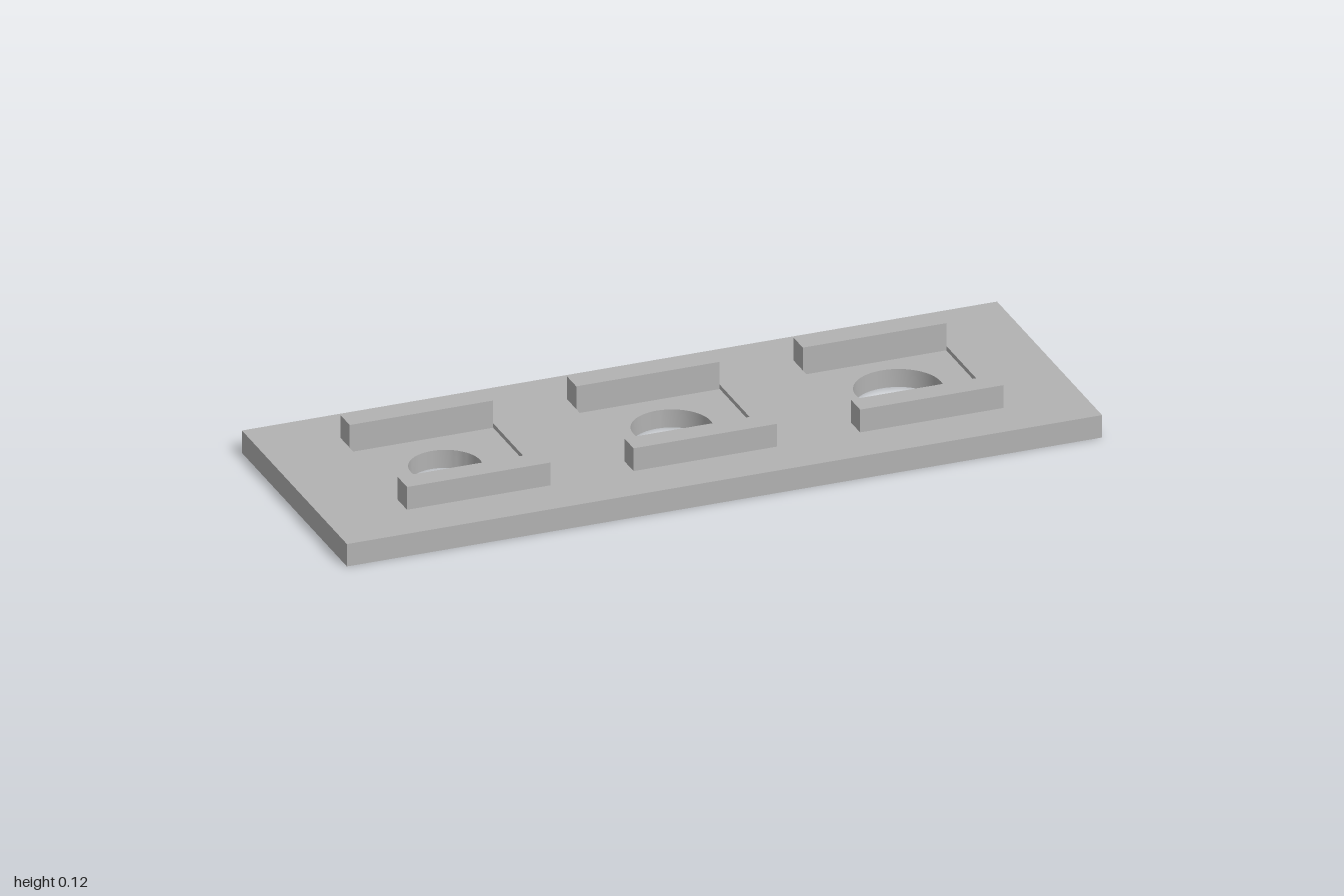
import * as THREE from 'three';
import { toCreasedNormals } from 'three/addons/utils/BufferGeometryUtils.js';

const LENGTH = 2, WIDTH = 0.7, THICKNESS = 0.061, RECESS = 0.012;
const RAIL = { length: 0.38, height: 0.062, width: 0.062, z: 0.191 };
const STATIONS = [{ x: -0.6, r: 0.092 }, { x: 0, r: 0.102 }, { x: 0.6, r: 0.112 }];

// Adds a rectangle centred on (x, 0) to a path
function rectangle(path, x, w, h) {
  path.moveTo(x - w / 2, -h / 2);
  path.lineTo(x + w / 2, -h / 2);
  path.lineTo(x + w / 2, h / 2);
  path.lineTo(x - w / 2, h / 2);
  path.closePath();
  return path;
}

// Horizontal slab with holes, from height y0 to y1
function slab(holes, y0, y1) {
  const shape = rectangle(new THREE.Shape(), 0, LENGTH, WIDTH);
  shape.holes.push(...holes);
  const geometry = new THREE.ExtrudeGeometry(shape, { depth: y1 - y0, bevelEnabled: false, curveSegments: 32 });
  geometry.rotateX(-Math.PI / 2).translate(0, y0, 0);
  return toCreasedNormals(geometry, 0.6);
}

export function createModel() {
  const group = new THREE.Group();
  const grey = new THREE.MeshStandardMaterial({ color: 0xb2b2b2 });
  grey.name = 'grey';
  const add = (name, geometry) => {
    const mesh = new THREE.Mesh(geometry, grey);
    mesh.name = name;
    group.add(mesh);
    return mesh;
  };

  // Lower plate layer with round holes of growing size
  const floor = THICKNESS - RECESS;
  const round = STATIONS.map(({ x, r }) => new THREE.Path().absarc(x, 0, r, 0, Math.PI * 2, true));
  add('basePlate', slab(round, 0, floor));

  // Upper plate layer, open over the shallow recesses between the rails
  const inner = 2 * RAIL.z - RAIL.width;
  const pockets = STATIONS.map(({ x }) => rectangle(new THREE.Path(), x, RAIL.length, inner));
  add('recessedTop', slab(pockets, floor, THICKNESS));

  // A pair of rails beside each hole
  const railGeometry = new THREE.BoxGeometry(RAIL.length, RAIL.height, RAIL.width);
  for (const { x } of STATIONS) {
    for (const side of [1, -1]) {
      add(side > 0 ? 'frontRail' : 'backRail', railGeometry)
        .position.set(x, THICKNESS + RAIL.height / 2, side * RAIL.z);
    }
  }
  return group;
}
